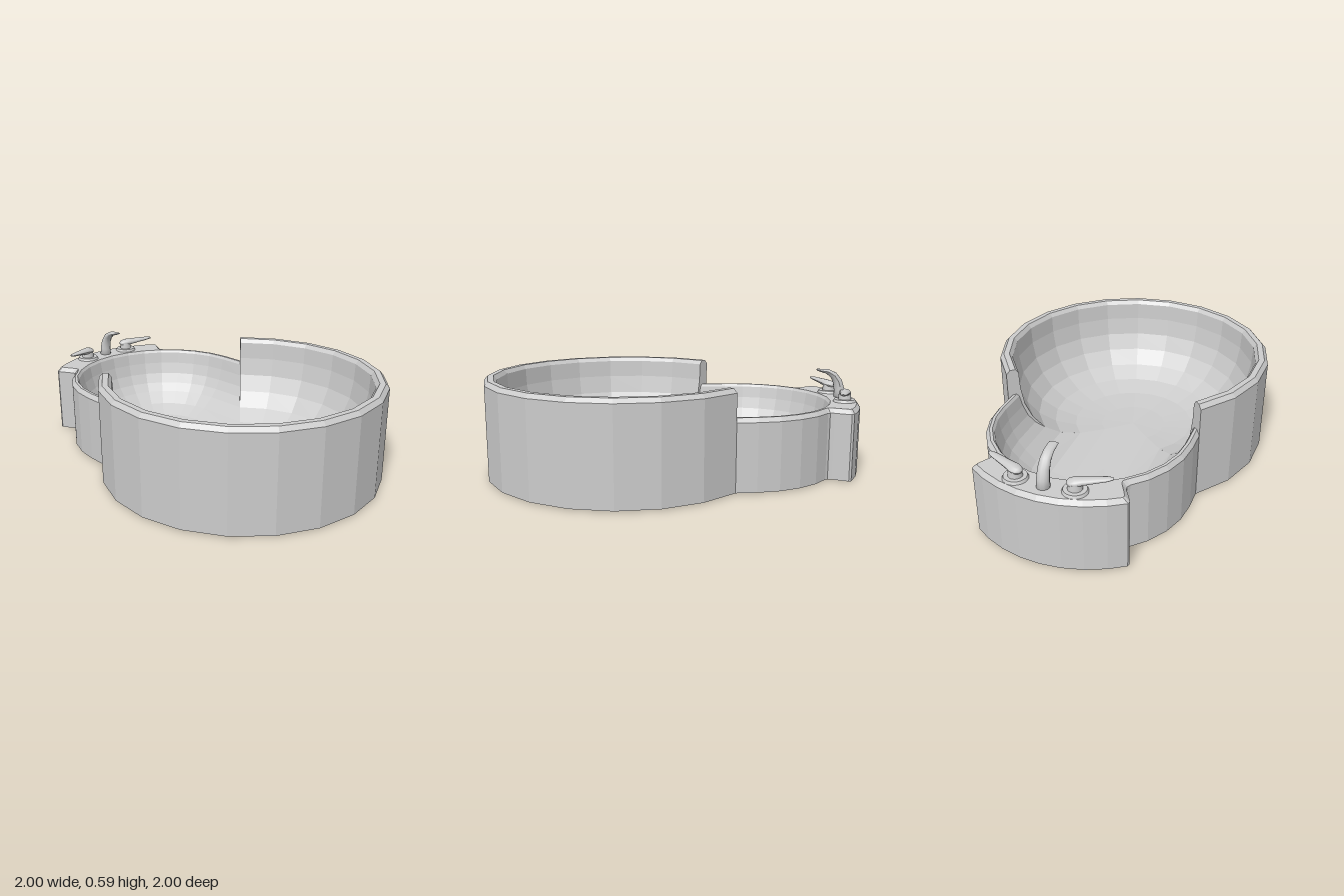
import * as THREE from 'three';

const flat = new THREE.MeshStandardMaterial({ color: 0xcccccc, flatShading: true, side: THREE.DoubleSide });
const smooth = new THREE.MeshStandardMaterial({ color: 0xcccccc });
const V = (x, y, z) => new THREE.Vector3(x, y, z);
const rad = THREE.MathUtils.degToRad;

// Skin a list of rings that all have the same number of points
function loft(rings) {
  const n = rings[0].length, index = [];
  for (let k = 0; k < rings.length - 1; k++) {
    for (let j = 0; j < n - 1; j++) {
      const a = k * n + j, b = a + n;
      index.push(a, a + 1, b, b, a + 1, b + 1);
    }
  }
  const geo = new THREE.BufferGeometry().setFromPoints(rings.flat());
  geo.setIndex(index);
  geo.computeVertexNormals();
  return geo;
}

// Tapered bar: stations are [centre, half width, half thickness], side is its sideways axis
function taperedBar(stations, side) {
  const last = stations.length - 1;
  const rings = stations.map(([c, w, h], i) => {
    const T = stations[Math.min(i + 1, last)][0].clone().sub(stations[Math.max(i - 1, 0)][0]).normalize();
    const N = T.cross(side);
    return Array.from({ length: 13 }, (_, j) => {
      const a = j / 12 * Math.PI * 2;
      return c.clone().addScaledVector(side, w * Math.cos(a)).addScaledVector(N, h * Math.sin(a));
    });
  });
  const tip = i => Array.from({ length: 13 }, () => stations[i][0].clone());
  return loft([tip(0), ...rings, tip(last)]);
}

function add(parent, name, geo, mat) {
  const mesh = new THREE.Mesh(geo, mat);
  mesh.name = name;
  parent.add(mesh);
  return mesh;
}

// Built along its own z axis, then turned 45 degrees
const BIG_Z = 0.269, SMALL_Z = -0.424, BASE = 0.006;

// Cross-sections [radius, height]: underside, outer wall, rim, bowl
const bigProfile = [
  [0, BASE], [0.812, BASE], [0.812, 0.552], [0.79, 0.576], [0.757, 0.576], [0.739, 0.552],
  [0.734, 0.45], [0.714, 0.34], [0.67, 0.24], [0.6, 0.15], [0.5, 0.085], [0.37, 0.045],
  [0.2, 0.03], [0, 0.025],
];
// A third value is the height where the section meets the large basin
const smallProfile = [
  [0, BASE], [0.574, BASE], [0.574, 0.392], [0.554, 0.416], [0.538, 0.416], [0.527, 0.4],
  [0.515, 0.33], [0.495, 0.26], [0.465, 0.2], [0.424, 0.15], [0.354, 0.085],
  [0.262, 0.035, 0.045], [0.141, 0.01, 0.03], [0, 0, 0.025],
];

// Three quarters of a turn
function bigRing([r, y]) {
  return Array.from({ length: 17 }, (_, j) => {
    const a = rad(-135 + 270 * j / 16);
    return V(r * Math.sin(a), y, BIG_Z + r * Math.cos(a));
  });
}

// Half a turn, run straight forward to the mitre with the large basin
function smallRing([r, y, frontY = y]) {
  const pts = [V(r, frontY, BIG_Z - r)];
  for (let j = 0; j <= 14; j++) {
    const t = Math.PI * j / 14;
    pts.push(V(r * Math.cos(t), y, SMALL_Z - r * Math.sin(t)));
  }
  pts.push(V(-r, frontY, BIG_Z - r));
  return pts;
}

// Ledge outline [angle from back, radius], from the model's left to its right
const half = [[41, 0.574], [39.2, 0.58], [38.2, 0.6], [37.6, 0.65], [37, 0.697], [36, 0.707],
  [27.8, 0.707], [18.5, 0.707], [9.2, 0.707]];
const ledgeOutline = [...half, [0, 0.707], ...half.map(([a, r]) => [-a, r]).reverse()];
function ledgeRing(y, inset, radius) {
  return ledgeOutline.map(([a, r]) => {
    const t = rad(a - Math.sign(a) * (Math.abs(a) > 30 ? inset * 85 : 0));
    const q = radius ?? r - inset;
    return V(q * Math.sin(t), y, SMALL_Z - q * Math.cos(t));
  });
}

function makeTap(side) {
  const tap = new THREE.Group();
  tap.name = side > 0 ? 'leftTap' : 'rightTap';
  tap.position.set(side * 0.158, 0.416, -1.021);
  add(tap, 'tapPlate', new THREE.CylinderGeometry(0.06, 0.067, 0.016, 20), smooth).position.y = 0.008;
  add(tap, 'tapStem', new THREE.CylinderGeometry(0.034, 0.038, 0.036, 16), smooth).position.y = 0.032;
  // Lever points outward and a little forward
  const dir = V(side * 0.935, 0, 0.355);
  const across = V(0, 1, 0).cross(dir);
  const stations = [
    [-0.04, 0.05, 0.012, 0.008], [-0.028, 0.051, 0.027, 0.018], [0, 0.054, 0.035, 0.023],
    [0.035, 0.058, 0.029, 0.02], [0.1, 0.064, 0.024, 0.014], [0.155, 0.068, 0.019, 0.01],
    [0.182, 0.07, 0.01, 0.006],
  ].map(([d, y, w, h]) => [dir.clone().multiplyScalar(d).setY(y), w, h]);
  add(tap, 'tapLever', taperedBar(stations, across), smooth);
  return tap;
}

export function createModel() {
  const model = new THREE.Group();
  model.name = 'doubleBasin';
  const body = new THREE.Group();
  body.name = 'basinBody';
  body.rotation.y = Math.PI / 4;
  model.add(body);

  add(body, 'largeBasin', loft(bigProfile.map(bigRing)), flat);
  add(body, 'smallBasin', loft(smallProfile.map(smallRing)), flat);

  // Flat ends of the large basin wall
  const section = new THREE.Shape(bigProfile.map(([r, y]) => new THREE.Vector2(r, y)));
  for (const side of [-1, 1]) {
    const end = add(body, 'largeBasinEnd', new THREE.ShapeGeometry(section), flat);
    end.position.z = BIG_Z;
    end.rotation.y = side * rad(135) - Math.PI / 2;
  }

  // Tap ledge with a bevelled top edge
  add(body, 'tapLedge', loft([
    ledgeRing(BASE, 0, 0.548), ledgeRing(BASE, 0), ledgeRing(0.392, 0),
    ledgeRing(0.417, 0.02), ledgeRing(0.417, 0.02, 0.548),
  ]), flat);

  // Spout curving up and over the small basin
  const spout = [
    [-1.04, 0.41, 0.035, 0.036], [-1.038, 0.46, 0.033, 0.032], [-1.025, 0.51, 0.031, 0.028],
    [-1.0, 0.548, 0.029, 0.022], [-0.96, 0.573, 0.027, 0.015], [-0.9, 0.583, 0.025, 0.006],
  ].map(([z, y, w, h]) => [V(0, y, z), w, h]);
  add(body, 'spout', taperedBar(spout, V(1, 0, 0)), smooth);

  body.add(makeTap(1), makeTap(-1));
  return model;
}
